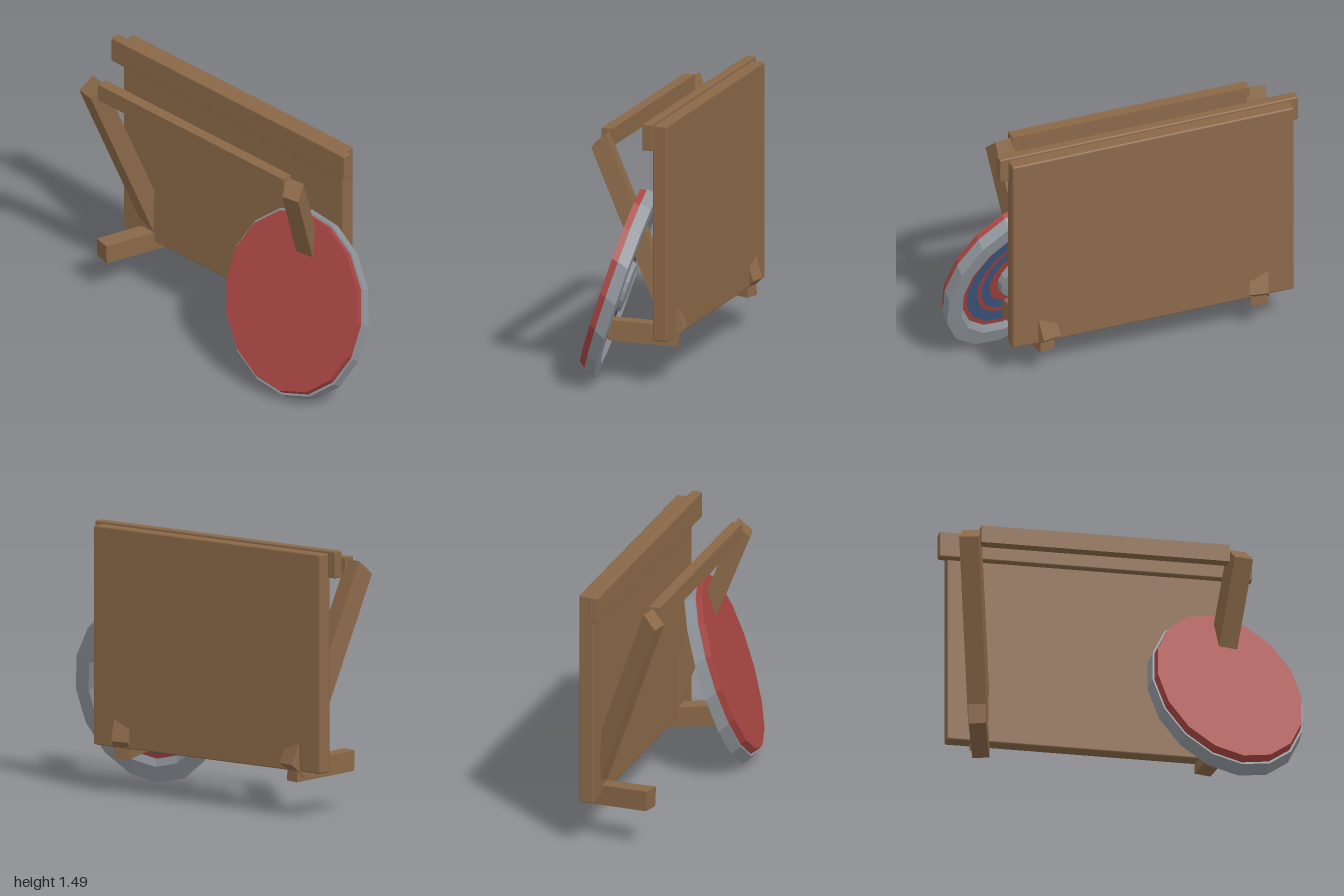
import * as THREE from 'three';
import { RoundedBoxGeometry } from 'three/addons/geometries/RoundedBoxGeometry.js';

const V = (x, y, z) => new THREE.Vector3(x, y, z);

function material(name, color) {
  const m = new THREE.MeshStandardMaterial({ color });
  m.name = name;
  return m;
}

export function createModel() {
  const wood = material('wood', 0x8a6848);
  const red = material('red paint', 0xa64541);
  const steel = material('steel', 0x8f959b);
  const blue = material('blue paint', 0x3f5a82);

  const model = new THREE.Group();
  model.name = 'standWithShield';

  function add(name, geometry, mat, parent = model) {
    const mesh = new THREE.Mesh(geometry, mat);
    mesh.name = name;
    parent.add(mesh);
    return mesh;
  }

  // Plank given by its minimum and maximum corners
  function plank(name, min, max, bevel) {
    const s = max.clone().sub(min);
    const g = bevel
      ? new RoundedBoxGeometry(s.x, s.y, s.z, 1, bevel)
      : new THREE.BoxGeometry(s.x, s.y, s.z);
    add(name, g, wood).position.copy(min.clone().add(max).multiplyScalar(0.5));
  }

  plank('backBoard', V(-0.95, 0.26, -0.25), V(0.7, 1.48, -0.165), 0.01);
  plank('headerPlank', V(-1, 1.345, -0.18), V(0.75, 1.495, -0.122), 0.008);
  plank('crossbar', V(-0.82, 1.31, 0.112), V(0.57, 1.41, 0.175), 0);

  // Slanted beams: a box skewed along three edge vectors, mirrored about the board's middle
  const middle = -0.125;
  function beamPair(name, centre, across, up, forward) {
    for (const side of [1, -1]) {
      const flip = (v) => V(v.x * side, v.y, v.z);
      const basis = new THREE.Matrix4()
        .makeBasis(flip(across).multiplyScalar(side), flip(up), flip(forward))
        .setPosition(flip(centre).add(V(middle, 0, 0)));
      const g = new THREE.BoxGeometry(1, 1, 1).toNonIndexed();
      g.applyMatrix4(basis);
      g.computeVertexNormals();
      add((side > 0 ? 'right' : 'left') + name, g, wood);
    }
  }
  beamPair('Strut', V(-0.688, 0.8125, -0.0425), V(0.105, 0, 0.018), V(-0.134, 1.1, 0.41), V(-0.03, -0.075, 0.075));
  beamPair('Foot', V(-0.665, 0.2725, -0.0575), V(0.092, 0, 0.022), V(0, 0.115, 0.005), V(-0.09, 0.03, 0.375));

  // Shield: faceted oval rings around a leaning axis
  const shield = new THREE.Group();
  shield.name = 'shield';
  model.add(shield);
  const centre = V(0.58, 0.583, 0.117);
  const tall = V(-0.051, 0.489, -0.153);
  const wide = V(0.417, 0, -0.08);
  const back = V(-0.02, -0.062, -0.085);
  const sides = 16;

  function ringPoint([radius, depth], i) {
    const t = (i / sides) * Math.PI * 2;
    return centre.clone()
      .addScaledVector(back, depth)
      .addScaledVector(tall, radius * Math.cos(t))
      .addScaledVector(wide, radius * Math.sin(t));
  }

  // Bands through [radius, depth] stations, running from front centre round to back centre
  function bands(name, mat, ...stations) {
    const points = [];
    for (let s = 0; s + 1 < stations.length; s++) {
      const [p, q] = [stations[s], stations[s + 1]];
      for (let i = 0; i < sides; i++) {
        const a = ringPoint(p, i), b = ringPoint(p, i + 1);
        const c = ringPoint(q, i + 1), d = ringPoint(q, i);
        if (q[0] > 0) points.push(a, c, d);
        if (p[0] > 0) points.push(a, b, c);
      }
    }
    const g = new THREE.BufferGeometry().setFromPoints(points);
    g.computeVertexNormals();
    add(name, g, mat, shield);
  }

  bands('shieldPanel', red, [0, 0], [1, 0], [1.015, 0.36]);
  bands('shieldRim', steel, [1.015, 0.36], [1.04, 0.36], [1.055, 1], [0.86, 1.05], [0.8, 0.8]);
  bands('outerRedRing', red, [0.8, 0.8], [0.74, 0.8]);
  bands('outerBlueRing', blue, [0.74, 0.8], [0.59, 0.8]);
  bands('middleRedRing', red, [0.59, 0.8], [0.53, 0.8]);
  bands('innerBlueRing', blue, [0.53, 0.8], [0.41, 0.8]);
  bands('innerRedRing', red, [0.41, 0.8], [0.29, 0.8]);
  bands('shieldBoss', steel, [0.29, 0.8], [0.27, 1.1], [0, 1.2]);

  return model;
}
